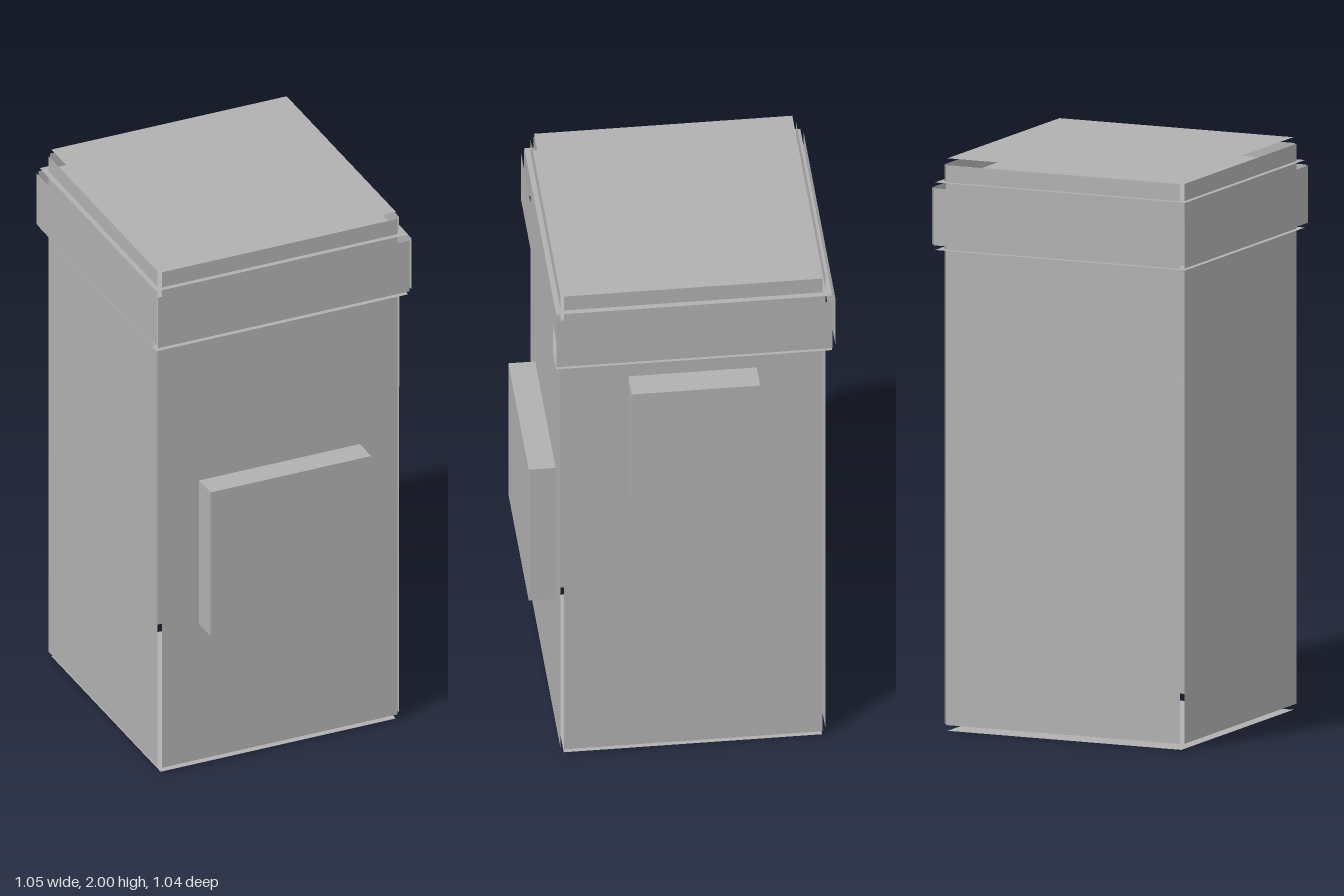
import * as THREE from 'three';

export function createModel() {
  const model = new THREE.Group();
  const grey = new THREE.MeshStandardMaterial({ color: 0xb0b0b0, side: THREE.DoubleSide });
  grey.name = 'plain grey';

  // Axis-aligned extents of each part: [min, max] corners
  const center = (a, b) => a.map((v, i) => (v + b[i]) / 2);
  const extent = (a, b) => a.map((v, i) => b[i] - v);

  // Hollow box of six loose sheets, each set a little outward from its side
  function sheetBox(name, min, max, gapSide, gapY) {
    const group = new THREE.Group();
    group.name = name;
    const [w, h, d] = extent(min, max);
    const sheet = (label, sw, sh, offset, rx, ry) => {
      const mesh = new THREE.Mesh(new THREE.PlaneGeometry(sw, sh), grey);
      mesh.name = label;
      mesh.position.set(...offset);
      mesh.rotation.set(rx, ry, 0);
      group.add(mesh);
    };
    const q = Math.PI / 2;
    sheet('frontSheet', w, h, [0, 0, d / 2 + gapSide], 0, 0);
    sheet('backSheet', w, h, [0, 0, -d / 2 - gapSide], 0, 2 * q);
    sheet('leftSheet', d, h, [w / 2 + gapSide, 0, 0], 0, q);
    sheet('rightSheet', d, h, [-w / 2 - gapSide, 0, 0], 0, -q);
    sheet('topSheet', w, d, [0, h / 2 + gapY, 0], -q, 0);
    sheet('bottomSheet', w, d, [0, -h / 2 - gapY, 0], q, 0);
    group.position.set(...center(min, max));
    model.add(group);
  }

  function solidBox(name, min, max) {
    const mesh = new THREE.Mesh(new THREE.BoxGeometry(...extent(min, max)), grey);
    mesh.name = name;
    mesh.position.set(...center(min, max));
    model.add(mesh);
  }

  // Tall body and the collar around its top
  sheetBox('body', [-0.49, 0.022, -0.475], [0.402, 1.978, 0.42], 0.012, 0.022);
  sheetBox('collar', [-0.52, 1.7, -0.506], [0.435, 1.9, 0.45], 0.012, 0.018);

  // Blocks fixed to the front and to the left side
  solidBox('frontBlock', [-0.35, 0.557, 0.42], [0.26, 1.123, 0.525]);
  solidBox('sideBlock', [0.402, 1.17, -0.247], [0.518, 1.614, 0.198]);

  return model;
}
